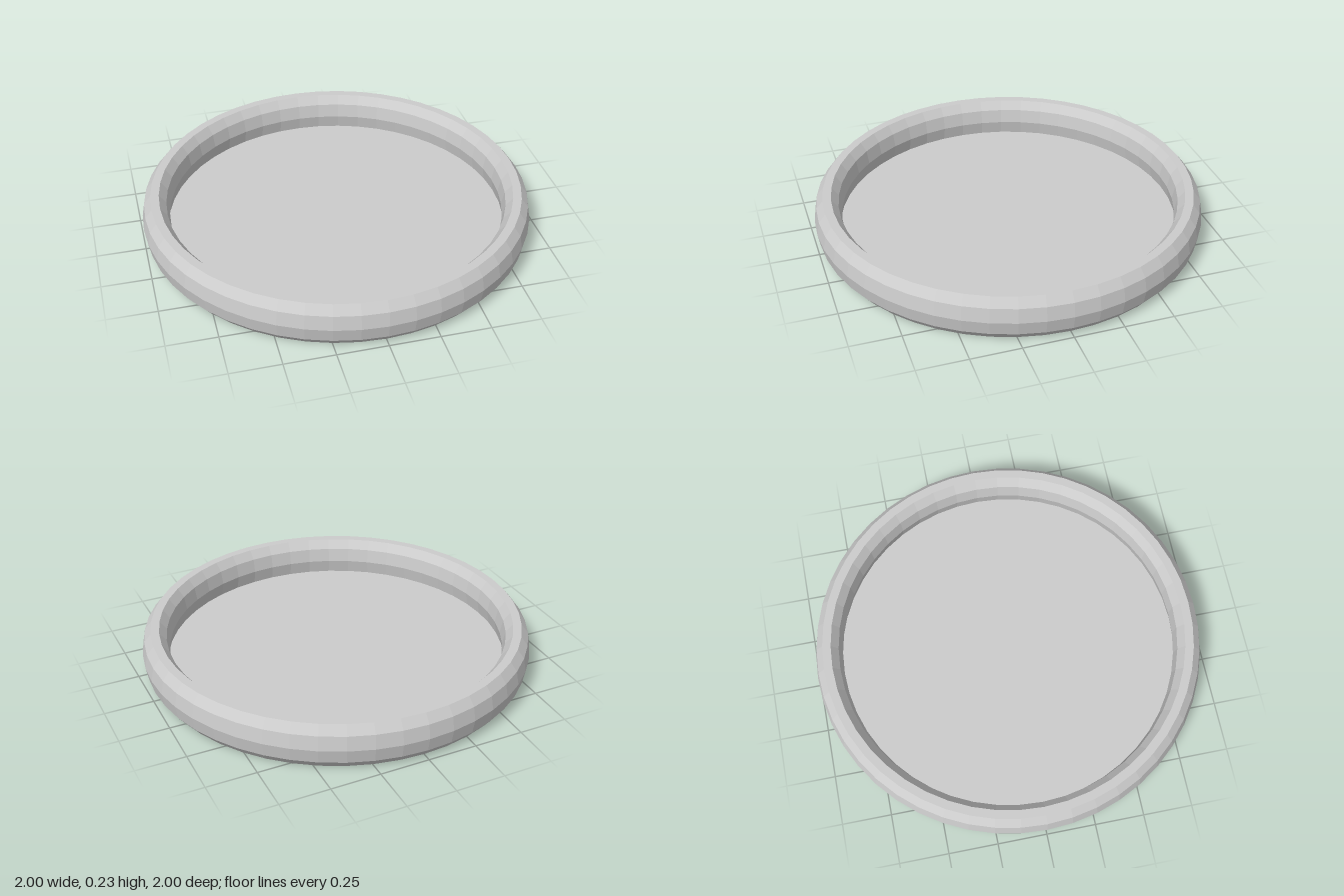
import * as THREE from 'three';

const SIDES = 48;       // facets around the dish
const RING_RADIUS = 0.93;
const MID_HEIGHT = 0.117;

export function createModel() {
  const group = new THREE.Group();
  group.name = 'shallowDish';

  // Rim: a ten-sided oval section swept round the vertical axis
  const section = [];
  for (let i = 0; i <= 10; i++) {
    const a = (i / 10) * Math.PI * 2;
    section.push(new THREE.Vector2(
      RING_RADIUS + 0.07 * Math.cos(a),
      MID_HEIGHT + 0.123 * Math.sin(a)
    ));
  }
  const rim = new THREE.Mesh(
    new THREE.LatheGeometry(section, SIDES),
    new THREE.MeshStandardMaterial({ color: 0xcccccc, flatShading: true })
  );
  rim.name = 'rim';
  group.add(rim);

  // Base: a thin sheet closing the ring just above the ground
  const base = new THREE.Mesh(
    new THREE.CircleGeometry(0.875, SIDES).rotateX(-Math.PI / 2),
    new THREE.MeshStandardMaterial({ color: 0xcccccc, side: THREE.DoubleSide })
  );
  base.name = 'base';
  base.position.y = 0.045;
  group.add(base);

  return group;
}
